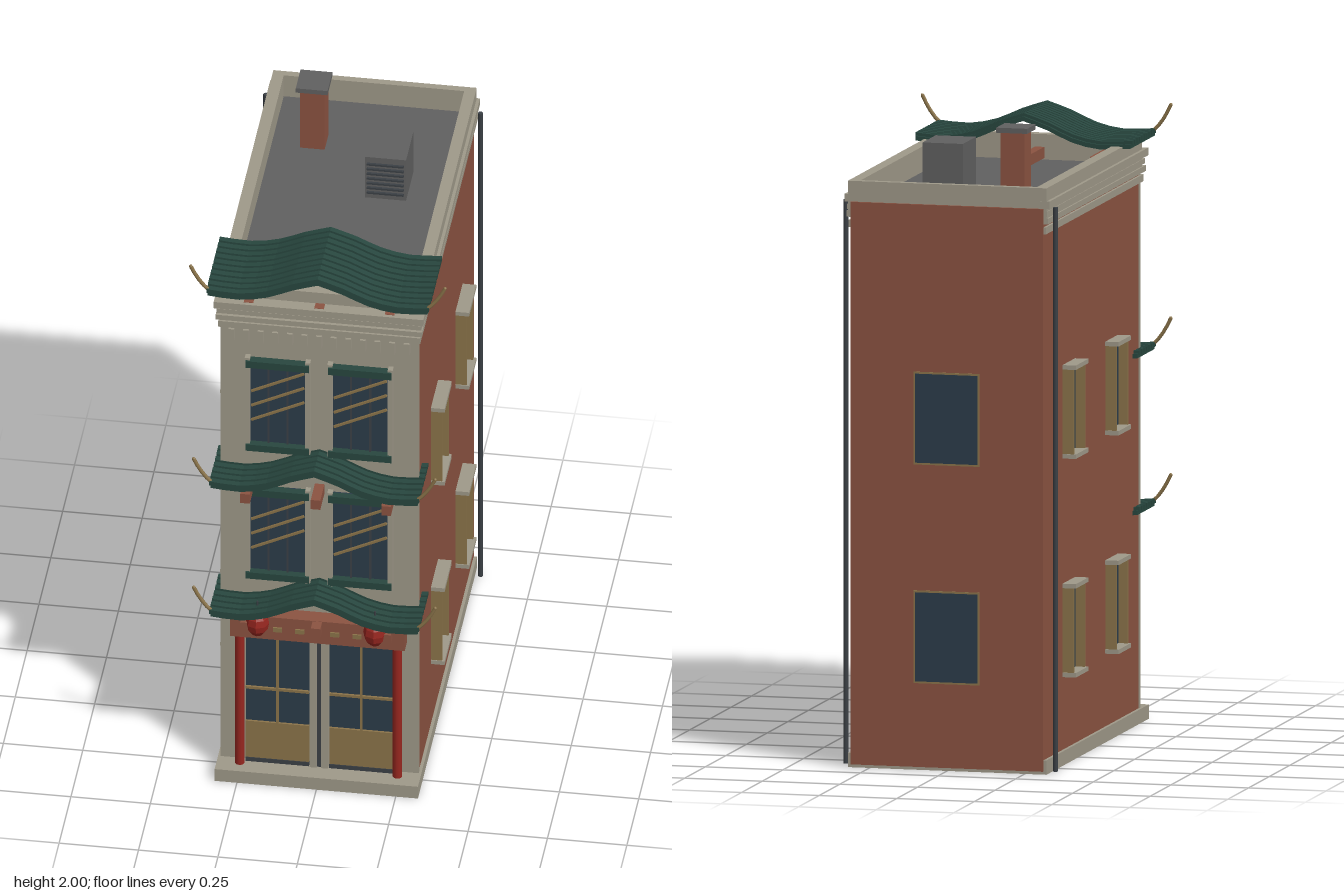
import * as THREE from 'three';

const mat = (name, color) => {
  const m = new THREE.MeshStandardMaterial({ color });
  m.name = name;
  return m;
};

export function createModel() {
  const brick = mat('brick', 0x8b5341), stone = mat('stone', 0x9f9989), glass = mat('window glass', 0x2c3c4a);
  const green = mat('green tile', 0x28473f), gold = mat('ochre wood', 0x8b744a), red = mat('red lacquer', 0x96261f);
  const grey = mat('roof grey', 0x606060), iron = mat('dark iron', 0x3b4045);

  const model = new THREE.Group();
  model.name = 'shophouse';

  const add = (name, geometry, material, parent = model) => {
    const mesh = new THREE.Mesh(geometry, material);
    mesh.name = name;
    parent.add(mesh);
    return mesh;
  };
  // box given by its min and max on each axis
  const box = (name, material, x0, x1, y0, y1, z0, z1, parent = model) => {
    const mesh = add(name, new THREE.BoxGeometry(x1 - x0, y1 - y0, z1 - z0), material, parent);
    mesh.position.set((x0 + x1) / 2, (y0 + y1) / 2, (z0 + z1) / 2);
    return mesh;
  };
  const group = (name) => {
    const g = new THREE.Group();
    g.name = name;
    model.add(g);
    return g;
  };

  // main block
  box('base', stone, -0.32, 0.32, 0, 0.045, -0.64, 0.6);
  box('brickBody', brick, -0.31, 0.31, 0.01, 1.75, -0.647, 0.515);
  box('facade', stone, -0.312, 0.312, 0.04, 1.78, 0.514, 0.528);
  box('flatRoof', grey, -0.29, 0.29, 1.75, 1.765, -0.62, 0.5);

  // parapet walls
  const parapet = group('parapet');
  for (const s of [-1, 1]) {
    const [a, b] = s < 0 ? [-0.32, -0.284] : [0.284, 0.32];
    box('parapetSide', stone, a, b, 1.75, 1.845, -0.638, 0.515, parapet);
  }
  box('parapetBack', stone, -0.284, 0.284, 1.75, 1.845, -0.638, -0.615, parapet);
  box('parapetFront', stone, -0.284, 0.284, 1.75, 1.845, 0.48, 0.515, parapet);
  box('parapetBackBrick', brick, -0.31, 0.31, 1.74, 1.78, -0.647, -0.638, parapet);

  // cornice mouldings on the front and sides
  const cornice = group('cornice');
  const bands = [[1.70, 1.722, 0.318, 0.54], [1.732, 1.75, 0.325, 0.547], [1.756, 1.772, 0.322, 0.545], [1.78, 1.804, 0.33, 0.555]];
  for (const [y0, y1, w, z] of bands) {
    box('corniceFront', stone, -w, w, y0, y1, 0.5, z, cornice);
    for (const s of [-1, 1])
      box('corniceSide', stone, s < 0 ? -w : 0.3, s < 0 ? -0.3 : w, y0, y1, -0.64, 0.5, cornice);
  }
  for (let i = 0; i < 13; i++) {
    const x = -0.276 + i * 0.046;
    box('dentil', stone, x - 0.009, x + 0.009, 1.655, 1.70, 0.52, 0.548, cornice);
  }

  // swept tiled canopies with upturned horns and brick brackets
  const sweep = new THREE.SplineCurve([[0, 0], [0.08, -0.027], [0.16, -0.062], [0.25, -0.08], [0.35, -0.074]]
    .map(([x, y]) => new THREE.Vector2(x, y))).getPoints(8);
  const strip = (halfW, top, thick, depth) => {
    const k = halfW / 0.35;
    const right = sweep.map((p) => [p.x * k, p.y + top]);
    const line = [...right.slice(1).reverse().map(([x, y]) => [-x, y]), ...right];
    const pts = [...line.map(([x, y]) => [x, y - thick]), ...line.reverse()];
    const shape = new THREE.Shape(pts.map(([x, y]) => new THREE.Vector2(x, y)));
    return new THREE.ExtrudeGeometry(shape, { depth, bevelEnabled: false });
  };
  const canopy = (name, peak, halfW, z0, z1, rows, bracketBack) => {
    const g = group(name);
    add('tileBed', strip(halfW - 0.004, peak - 0.01, 0.014, z1 - z0), green, g).position.z = z0;
    const pitch = (z1 - z0) / rows;
    for (let i = 0; i < rows; i++)
      add('tileRow', strip(halfW, peak, 0.015, pitch * 0.68), green, g).position.z = z0 + pitch * (i + 0.32);
    for (const s of [-1, 1]) {
      const foot = new THREE.Vector3(s * (halfW - 0.01), peak - 0.085, z1 - 0.008);
      const tip = new THREE.Vector3(s * (halfW + 0.05), peak + 0.002, z1 - 0.008);
      const bend = new THREE.Vector3(s * (halfW + 0.025), peak - 0.055, z1 - 0.008);
      const path = new THREE.QuadraticBezierCurve3(foot, bend, tip);
      add('horn', new THREE.TubeGeometry(path, 4, 0.006, 6), gold, g);
      const cap = add('hornTip', new THREE.SphereGeometry(0.006, 6, 4), gold, g);
      cap.position.copy(tip);
    }
    for (const x of [-0.222, 0, 0.222])
      box('bracket', brick, x - 0.015, x + 0.015, peak - 0.168, peak - 0.133, bracketBack, z1 - 0.03, g);
  };
  canopy('topCanopy', 1.938, 0.35, 0.28, 0.573, 10, 0.31);
  canopy('middleCanopy', 1.255, 0.33, 0.44, 0.647, 7, 0.5);
  canopy('lowerCanopy', 0.762, 0.33, 0.44, 0.647, 7, 0.5);

  // paired front windows with green lintels and slanted glazing bars
  const frontWindow = (cx, y0, y1) => {
    const g = group('frontWindow');
    box('pane', glass, cx - 0.09, cx + 0.09, y0, y1, 0.525, 0.532, g);
    box('lintel', green, cx - 0.1, cx + 0.1, y1 - 0.025, y1, 0.525, 0.556, g);
    box('sill', green, cx - 0.1, cx + 0.1, y0, y0 + 0.024, 0.525, 0.556, g);
    for (const s of [-1, 1]) {
      const x = cx + s * 0.095;
      box('jamb', stone, x - 0.008, x + 0.008, y0 - 0.006, y1 + 0.008, 0.525, 0.55, g);
      box('mullion', iron, cx + s * 0.03 - 0.003, cx + s * 0.03 + 0.003, y0 + 0.024, y1 - 0.025, 0.53, 0.538, g);
    }
    for (let i = 0; i < 3; i++) {
      const bar = add('slantedBar', new THREE.BoxGeometry(0.185, 0.007, 0.007), gold, g);
      bar.position.set(cx, y1 - 0.08 - i * 0.055, 0.543);
      bar.rotation.z = 0.46;
    }
  };
  for (const cx of [-0.13, 0.13]) {
    frontWindow(cx, 1.245, 1.588);
    frontWindow(cx, 0.755, 1.097);
  }

  // shop front doors
  for (const s of [-1, 1]) {
    const g = group('door');
    const c = s * 0.132;
    box('doorGlass', glass, c - 0.1, c + 0.1, 0.06, 0.55, 0.526, 0.533, g);
    box('doorPanel', gold, c - 0.1, c + 0.1, 0.06, 0.198, 0.53, 0.54, g);
    box('doorRail', gold, c - 0.1, c + 0.1, 0.321, 0.33, 0.53, 0.54, g);
    box('doorStile', gold, c - 0.004, c + 0.004, 0.198, 0.55, 0.53, 0.54, g);
    box('threshold', iron, c - 0.1, c + 0.1, 0.045, 0.06, 0.526, 0.542, g);
    const post = add('redColumn', new THREE.CylinderGeometry(0.015, 0.015, 0.51, 12), red, g);
    post.position.set(s * 0.248, 0.3, 0.552);
    box('centrePost', stone, s * 0.018 - 0.011, s * 0.018 + 0.011, 0.045, 0.55, 0.526, 0.546, g);
  }
  box('centreGap', iron, -0.007, 0.007, 0.045, 0.55, 0.526, 0.54);

  // brick sign beam with small ochre plates
  box('signBeam', brick, -0.275, 0.275, 0.545, 0.63, 0.52, 0.578);
  for (const x of [-0.125, -0.055, 0.055, 0.125])
    box('signPlate', gold, x - 0.014, x + 0.014, 0.578, 0.594, 0.575, 0.583);

  // lanterns
  for (const s of [-1, 1]) {
    const g = group('lantern');
    g.position.set(s * 0.185, 0.625, 0.602);
    const profile = [[0, -0.046], [0.018, -0.042], [0.033, -0.022], [0.037, 0], [0.033, 0.022], [0.018, 0.042], [0, 0.046]];
    const globe = new THREE.LatheGeometry(profile.map(([x, y]) => new THREE.Vector2(x, y)), 8).toNonIndexed();
    globe.computeVertexNormals();
    add('lanternGlobe', globe, red, g);
    add('lanternCord', new THREE.CylinderGeometry(0.003, 0.003, 0.04, 6), iron, g).position.y = 0.06;
  }

  // side windows and drainpipes on both flanks
  for (const s of [-1, 1]) {
    const side = (name, m, d0, d1, y0, y1, z0, z1, g) =>
      box(name, m, Math.min(s * d0, s * d1), Math.max(s * d0, s * d1), y0, y1, z0, z1, g);
    for (const z of [0.185, -0.333]) for (const y of [0.28, 0.968]) {
      const g = group('sideWindow');
      side('pane', glass, 0.305, 0.315, y, y + 0.28, z - 0.066, z + 0.066, g);
      for (const e of [-1, 1])
        side('jamb', gold, 0.305, 0.345, y, y + 0.28, z + e * 0.068 - 0.005, z + e * 0.068 + 0.005, g);
      side('head', stone, 0.305, 0.353, y + 0.274, y + 0.288, z - 0.076, z + 0.076, g);
      side('sill', stone, 0.305, 0.353, y - 0.006, y + 0.008, z - 0.076, z + 0.076, g);
    }
    const pipe = add('drainpipe', new THREE.CylinderGeometry(0.008, 0.008, 1.775, 8), iron);
    pipe.position.set(s * 0.338, 0.8925, -0.597);
  }

  // rear windows
  for (const y of [0.28, 0.968]) {
    box('rearWindowFrame', gold, -0.106, 0.106, y - 0.006, y + 0.286, -0.65, -0.64);
    box('rearWindowPane', glass, -0.1, 0.1, y, y + 0.28, -0.652, -0.64);
  }

  // chimney and rooftop cooling unit
  box('chimney', brick, -0.194, -0.116, 1.75, 1.985, -0.43, -0.352);
  box('chimneyCap', grey, -0.205, -0.105, 1.984, 2.0, -0.441, -0.339);
  box('coolingUnit', grey, 0.045, 0.175, 1.76, 1.92, -0.28, -0.12);
  for (let i = 0; i < 7; i++)
    box('louvre', iron, 0.052, 0.168, 1.785 + i * 0.018, 1.791 + i * 0.018, -0.121, -0.112);

  return model;
}
